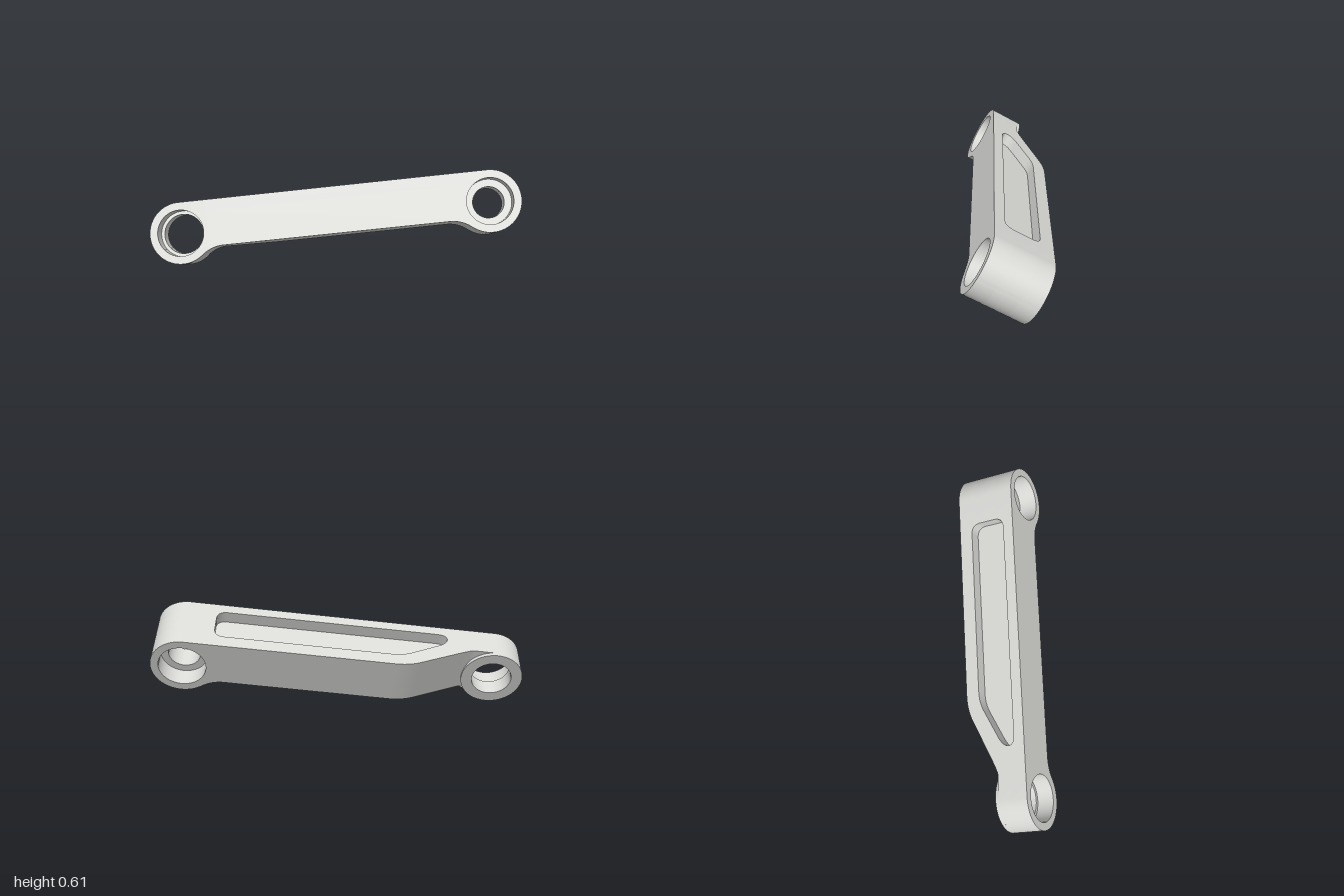
import * as THREE from 'three';
import { toCreasedNormals } from 'three/addons/utils/BufferGeometryUtils.js';

const R = 0.179;         // boss radius, also height of the arm's top face
const BOTTOM = -0.093;   // arm's lower face
const HALF = 0.892;      // half the distance between the bores
const FLOOR = 0.109;     // pocket floor height
const THICK = 0.357;     // full depth of the arm and long boss
const THIN = 0.176;      // depth of the arm at the short boss

const metal = new THREE.MeshStandardMaterial({ color: 0xd8d8d5 });
metal.name = 'light grey metal';

function extrude(shape, depth) {
  return new THREE.ExtrudeGeometry(shape, { depth, bevelEnabled: false, curveSegments: 40 });
}

function addMesh(parent, name, geometry) {
  const mesh = new THREE.Mesh(toCreasedNormals(geometry, 0.45), metal);
  mesh.name = name;
  parent.add(mesh);
}

function addBore(shape, radius) {
  const hole = new THREE.Path();
  hole.absarc(0, 0, radius, 0, Math.PI * 2, true);
  shape.holes.push(hole);
  return shape;
}

// Boss outline blending into the arm; side is +1 where the arm lies at +x
function bossShape(side) {
  const pts = [[0, R], [0.16, R], [0.16, -0.08], [0.24, -0.08]];
  const r = 0.195, cx = 0.24, cy = BOTTOM - r;
  const end = Math.atan2(-cy, -cx);            // fillet direction towards the bore centre
  for (let i = 0; i <= 12; i++) {
    const a = Math.PI / 2 + (end - Math.PI / 2) * i / 12;
    pts.push([cx + r * Math.cos(a), cy + r * Math.sin(a)]);
  }
  const from = Math.atan2(cy, cx), to = Math.PI / 2 - Math.PI * 2;
  for (let i = 1; i < 48; i++) {
    const a = from + (to - from) * i / 48;
    pts.push([R * Math.cos(a), R * Math.sin(a)]);
  }
  if (side > 0) pts.reverse();                 // keep both outlines counter-clockwise
  return new THREE.Shape(pts.map(([x, y]) => new THREE.Vector2(side * x, y)));
}

function roundShape() {
  const s = new THREE.Shape();
  s.absarc(0, 0, R, 0, Math.PI * 2, false);
  return s;
}

// Stack of slices, each [front depth, back depth, bore radius]
function addBoss(parent, name, x, makeShape, slices) {
  const boss = new THREE.Group();
  boss.name = name;
  boss.position.x = x;
  slices.forEach(([front, back, bore], i) => {
    const g = extrude(addBore(makeShape(), bore), back - front);
    g.translate(0, 0, -back);
    addMesh(boss, name + 'Slice' + (i + 1), g);
  });
  parent.add(boss);
}

// Arm plan: x along the arm, y is depth behind the front face
function armShape() {
  const s = new THREE.Shape();
  s.moveTo(-0.755, 0);
  s.lineTo(0.745, 0);
  s.lineTo(0.745, THICK);
  s.lineTo(-0.285, THICK);
  s.quadraticCurveTo(-0.37, THICK, -0.435, 0.325);
  s.lineTo(-0.645, 0.222);
  s.quadraticCurveTo(-0.738, THIN, -0.755, THIN);
  s.closePath();
  return s;
}

// Closed polygon with softened corners
function roundedPath(corners, cut) {
  const p = corners.map(([x, y]) => new THREE.Vector2(x, y));
  const path = new THREE.Path();
  p.forEach((c, i) => {
    const toward = (q) => c.clone().lerp(q, Math.min(0.5, cut / c.distanceTo(q)));
    const a = toward(p[(i + p.length - 1) % p.length]);
    const b = toward(p[(i + 1) % p.length]);
    if (i === 0) path.moveTo(a.x, a.y); else path.lineTo(a.x, a.y);
    path.quadraticCurveTo(c.x, c.y, b.x, b.y);
  });
  path.closePath();
  return path;
}

function addArmLayer(parent, name, shape, low, high) {
  const g = extrude(shape, high - low);
  g.rotateX(-Math.PI / 2);
  g.translate(0, low, 0);
  addMesh(parent, name, g);
}

export function createModel() {
  const link = new THREE.Group();
  link.name = 'linkArm';

  // Arm: solid lower body and a rim around the top pocket
  addArmLayer(link, 'armBody', armShape(), BOTTOM, FLOOR);
  const rim = armShape();
  rim.holes.push(roundedPath(
    [[-0.602, 0.064], [-0.602, 0.134], [-0.337, 0.276], [0.73, 0.276], [0.73, 0.064]], 0.06));
  addArmLayer(link, 'pocketRim', rim, FLOOR, R);

  // Long boss, counterbored from both sides
  addBoss(link, 'longBoss', HALF, () => bossShape(-1),
    [[0, 0.11, 0.134], [0.11, THICK - 0.11, 0.091], [THICK - 0.11, THICK, 0.134]]);

  // Short boss, counterbored from the front, with a raised back collar
  addBoss(link, 'shortBoss', -HALF, () => bossShape(1),
    [[0, 0.1, 0.134], [0.1, THIN, 0.115]]);
  addBoss(link, 'shortBossCollar', -HALF, roundShape, [[THIN, 0.198, 0.115]]);

  // Tilt of the whole link
  const n = new THREE.Vector3(-0.505, 0.49, 0.71).normalize();
  const u = new THREE.Vector3(0.848, 0.111, 0.52);
  u.addScaledVector(n, -u.dot(n)).normalize();
  const v = new THREE.Vector3().crossVectors(n, u);
  link.quaternion.setFromRotationMatrix(new THREE.Matrix4().makeBasis(u, v, n));

  // Centred and standing on the ground
  const model = new THREE.Group();
  model.name = 'model';
  model.add(link);
  const box = new THREE.Box3().setFromObject(model, true);
  const c = box.getCenter(new THREE.Vector3());
  link.position.set(-c.x, -box.min.y, -c.z);
  return model;
}
